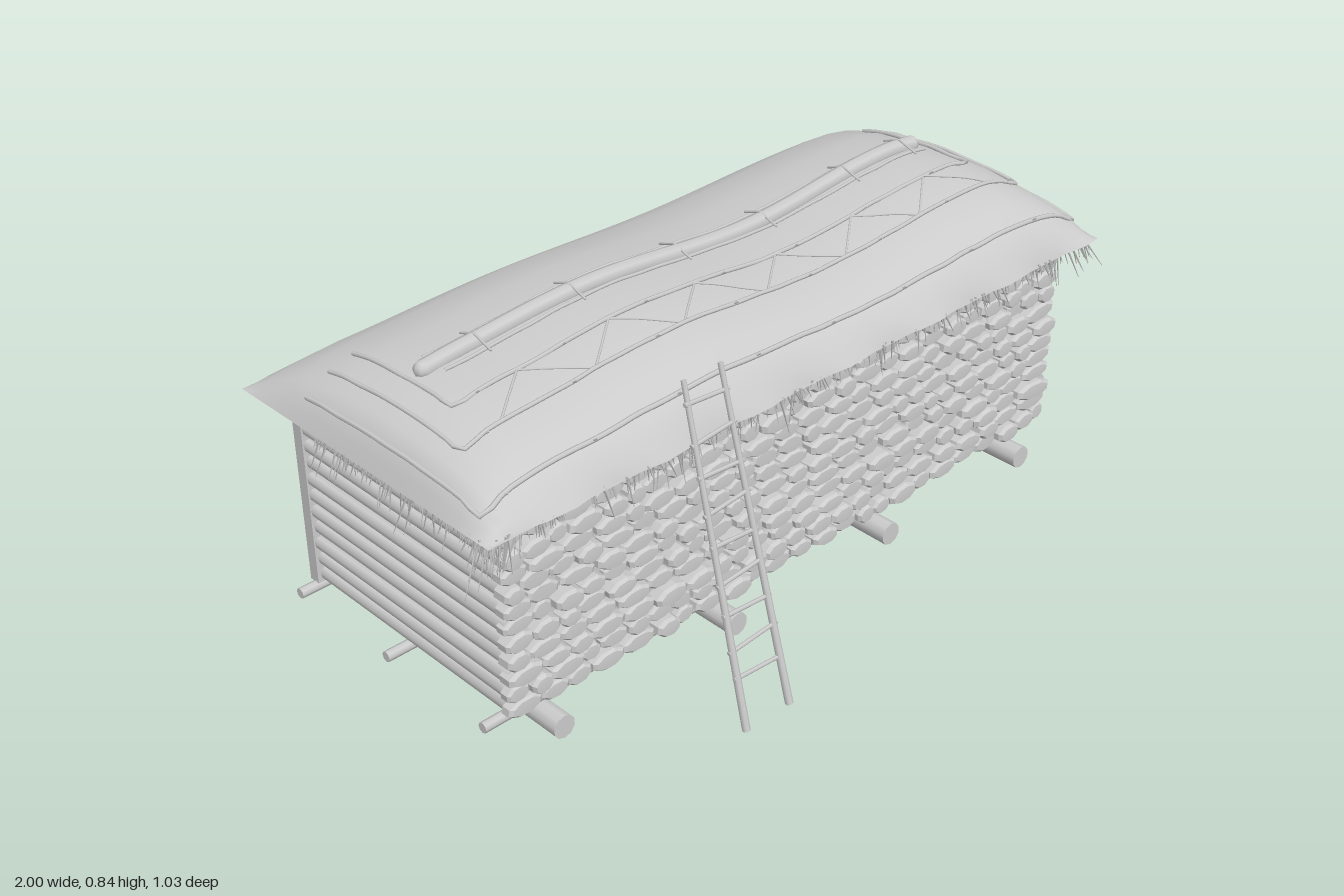
import * as THREE from 'three';
import { mergeGeometries, toCreasedNormals } from 'three/addons/utils/BufferGeometryUtils.js';

const wood = new THREE.MeshStandardMaterial({ color: 0xcccccc, side: THREE.DoubleSide });
wood.name = 'pale grey';

// seeded random numbers
let seed = 7;
const rnd = (a = 0, b = 1) => {
  seed = (seed * 16807) % 2147483647;
  return a + (b - a) * (seed / 2147483647);
};
const V = (x, y, z) => new THREE.Vector3(x, y, z);

// piecewise interpolation of [position, value] pairs
function lerpTable(t, v) {
  if (v <= t[0][0]) return t[0][1];
  for (let i = 1; i < t.length; i++) {
    if (v <= t[i][0]) {
      const k = (v - t[i - 1][0]) / (t[i][0] - t[i - 1][0]);
      return t[i - 1][1] + k * (t[i][1] - t[i - 1][1]);
    }
  }
  return t[t.length - 1][1];
}

// thatch height over the ground plan
const EAVE = 0.64, HALF = 0.945;
const crossSection = [[-0.515, 0], [-0.5, 0.025], [-0.46, 0.06], [-0.37, 0.11], [-0.25, 0.142], [-0.1, 0.155],
  [0.05, 0.152], [0.15, 0.135], [0.22, 0.115], [0.27, 0.085], [0.305, 0.04], [0.325, 0]];
const endSection = [[0, 0], [0.015, 0.22], [0.035, 0.48], [0.06, 0.64], [0.1, 0.8], [0.15, 0.92], [0.22, 1]];
const roofY = (x, z) => EAVE + lerpTable(crossSection, z) * lerpTable(endSection, HALF - Math.abs(x))
  * (1 + 0.1 * Math.cos((x + 0.3) * 6.6));

// tapered round bar between two points
function bar(a, b, r0, r1 = r0, sides = 8) {
  const d = b.clone().sub(a);
  const g = new THREE.CylinderGeometry(r1, r0, d.length(), sides);
  g.applyQuaternion(new THREE.Quaternion().setFromUnitVectors(V(0, 1, 0), d.clone().normalize()));
  g.translate((a.x + b.x) / 2, (a.y + b.y) / 2, (a.z + b.z) / 2);
  return g;
}

// stick bent over the thatch through [x, z] corners
function roofStick(corners, r, lift = 0.004) {
  const path = new THREE.CurvePath();
  const pts = [];
  for (let i = 0; i < corners.length - 1; i++) {
    const [x0, z0] = corners[i], [x1, z1] = corners[i + 1];
    const n = Math.max(2, Math.ceil(Math.hypot(x1 - x0, z1 - z0) / 0.06));
    for (let k = i ? 1 : 0; k <= n; k++) {
      const x = x0 + (x1 - x0) * k / n, z = z0 + (z1 - z0) * k / n;
      pts.push(V(x, roofY(x, z) + lift + rnd(-0.002, 0.002), z));
    }
  }
  for (let i = 1; i < pts.length; i++) path.add(new THREE.LineCurve3(pts[i - 1], pts[i]));
  return new THREE.TubeGeometry(new THREE.CatmullRomCurve3(pts), pts.length * 2, r, 6);
}

function roofGeometry() {
  const ds = endSection.map(e => e[0]);
  const xs = ds.map(d => -HALF + d);
  for (let i = 1; i < 24; i++) xs.push(-0.725 + 1.45 * i / 24);
  xs.push(...ds.map(d => HALF - d).reverse());
  const pos = [], idx = [], nz = crossSection.length;
  xs.forEach((x, i) => crossSection.forEach(([z], j) => {
    const ragged = j === nz - 1 ? 0.008 * Math.sin(x * 23) : 0;
    pos.push(x, roofY(x, z), z + ragged);
    if (i && j) {
      const d = i * nz + j, c = d - 1, b = d - nz, a = b - 1;
      idx.push(a, b, d, a, d, c);
    }
  }));
  const g = new THREE.BufferGeometry();
  g.setAttribute('position', new THREE.Float32BufferAttribute(pos, 3));
  g.setIndex(idx);
  g.computeVertexNormals();
  return g;
}

export function createModel() {
  seed = 7;
  const model = new THREE.Group();
  const add = (name, geos) => {
    const m = new THREE.Mesh(Array.isArray(geos) ? mergeGeometries(geos) : geos, wood);
    m.name = name;
    model.add(m);
    return m;
  };

  // ground beams and floor rails
  add('groundBeams', [-0.76, -0.25, 0.26, 0.745].map(x => bar(V(x, 0.085, -0.5), V(x, 0.085, 0.3), 0.026, 0.029, 10)));
  add('floorRails', [0.222, -0.11, -0.432].map(z => bar(V(-0.915, 0.125, z), V(0.89, 0.125, z), 0.013, 0.011, 8)));

  // plain back wall and the sheet behind the stacked front
  add('backWall', new THREE.BoxGeometry(1.74, 0.52, 0.03)).position.set(0, 0.395, -0.437);
  add('frontBacking', new THREE.BoxGeometry(1.7, 0.51, 0.008)).position.set(0, 0.392, 0.238);

  // long logs stacked at both ends
  const logs = [];
  for (const s of [-1, 1]) {
    for (let i = 0; i < 12; i++) {
      const y = 0.157 + i * 0.0428, x = s * (0.85 + rnd(-0.004, 0.004));
      logs.push(bar(V(x, y, -0.425), V(x, y + rnd(-0.003, 0.003), 0.255), 0.0165, 0.0205, 7));
    }
  }
  add('endLogs', logs);

  // firewood ends filling the front
  const chunks = [];
  const outline = [[0.5, 0], [0.5, 0.75], [0.4, 0.96], [0, 1]].map(p => new THREE.Vector2(...p));
  for (let row = 0; row < 12; row++) {
    let x = -0.875;
    while (x < 0.865) {
      let w = rnd(0.05, 0.095);
      if (x + w > 0.83) w = 0.875 - x;
      const g = new THREE.LatheGeometry(outline, 8);
      g.rotateY(Math.PI / 8 + rnd(-0.12, 0.12));
      g.rotateX(Math.PI / 2);
      g.scale(w * 1.06, 0.0465 * rnd(0.9, 1.05), rnd(0.022, 0.045));
      g.rotateZ(rnd(-0.1, 0.1));
      g.translate(x + w / 2, 0.157 + row * 0.0428 + rnd(-0.003, 0.003), 0.238);
      chunks.push(toCreasedNormals(g, 0.3));
      x += w;
    }
  }
  add('firewoodEnds', chunks);

  // thatched roof with a flat underside
  add('thatch', roofGeometry());
  const under = new THREE.PlaneGeometry(HALF * 2, 0.84);
  under.rotateX(Math.PI / 2);
  add('thatchUnderside', under).position.set(0, EAVE, -0.095);

  // fat ridge roll and its thin side sticks
  const ridge = [];
  for (let i = 0; i <= 20; i++) {
    const x = -0.755 + 1.5 * i / 20;
    ridge.push(V(x, roofY(x, -0.11) + 0.006, -0.108 + 0.006 * Math.cos(x * 5)));
  }
  add('ridgeRoll', new THREE.TubeGeometry(new THREE.CatmullRomCurve3(ridge), 60, 0.021, 8));
  add('ridgeRollEnds', [ridge[0], ridge[20]].map(p => new THREE.SphereGeometry(0.021, 8, 6).translate(p.x, p.y, p.z)));
  const sticks = [roofStick([[-0.73, -0.145], [0.74, -0.145]], 0.004, 0.008),
    roofStick([[-0.73, -0.07], [0.75, -0.07]], 0.004, 0.008)];
  for (const x of [-0.62, -0.36, -0.05, 0.22, 0.5, 0.7]) {
    const y = roofY(x, -0.11) + 0.026;
    sticks.push(bar(V(x, y - 0.018, -0.16), V(x, y, -0.11), 0.003, 0.003, 5));
    sticks.push(bar(V(x, y, -0.11), V(x, y - 0.018, -0.055), 0.003, 0.003, 5));
  }

  // three bent holding poles, lacing and pegs
  for (const [x, z, r] of [[0.79, 0.032, 0.005], [0.853, 0.137, 0.005], [0.915, 0.268, 0.006]]) {
    sticks.push(roofStick([[-x, -0.31], [-x, z], [x, z], [x, -0.31]], r));
    for (let px = -x + 0.05; px < x; px += 0.23) {
      const y = roofY(px, z);
      sticks.push(bar(V(px, y - 0.01, z - 0.015), V(px + 0.01, y + 0.012, z + 0.012), 0.003, 0.002, 5));
    }
  }
  const lacing = [];
  for (let i = 0; i <= 12; i++) lacing.push([-0.75 + 0.125 * i, i % 2 ? 0.034 : 0.135]);
  for (let i = 0; i < 12; i++) sticks.push(roofStick([lacing[i], lacing[i + 1]], 0.0028));
  add('roofSticks', sticks);

  // ragged straw hanging from the eaves
  const straw = [];
  const strand = (p, dx, dy, dz) => straw.push(bar(p, V(p.x + dx, p.y - dy, p.z + dz), 0.0035, 0.0008, 3));
  for (let i = 0; i < 330; i++) {
    const x = rnd(-0.935, 0.935), edge = Math.abs(x) > 0.84;
    const l = rnd() < 0.15 || edge ? rnd(0.04, 0.1) : rnd(0.015, 0.05);
    strand(V(x, 0.645, rnd(0.28, 0.325)), rnd(-0.015, 0.015) + (edge ? Math.sign(x) * l * 0.4 : 0), l, l * rnd(0, 0.45));
  }
  for (const s of [-1, 1]) {
    for (let i = 0; i < 130; i++) {
      const l = rnd() < 0.12 ? rnd(0.05, 0.09) : rnd(0.01, 0.045);
      strand(V(s * rnd(0.915, 0.94), 0.645, rnd(-0.26, 0.3)), s * l * rnd(0, 0.55), l, rnd(-0.01, 0.01));
    }
    strand(V(s * 0.935, 0.64, 0.28), s * 0.063, 0.1, 0.03);
  }
  add('eaveStraw', straw);

  // leaning ladder
  const foot = [-0.422, -0.29], head = [-0.412, -0.308];
  const ladder = foot.map((x, i) => bar(V(x, 0, 0.502), V(head[i], 0.79, 0.304), 0.0095, 0.006, 8));
  [0.12, 0.19, 0.265, 0.342, 0.42, 0.5, 0.575, 0.655, 0.735].forEach((y, i) => {
    const k = y / 0.79, z = 0.502 - 0.198 * k, tilt = i % 2 ? 0.006 : -0.005;
    ladder.push(bar(V(foot[0] + 0.01 * k - 0.01, y - tilt, z), V(foot[1] - 0.018 * k + 0.01, y + tilt, z), 0.0055, 0.005, 6));
  });
  add('ladder', ladder);

  return model;
}
